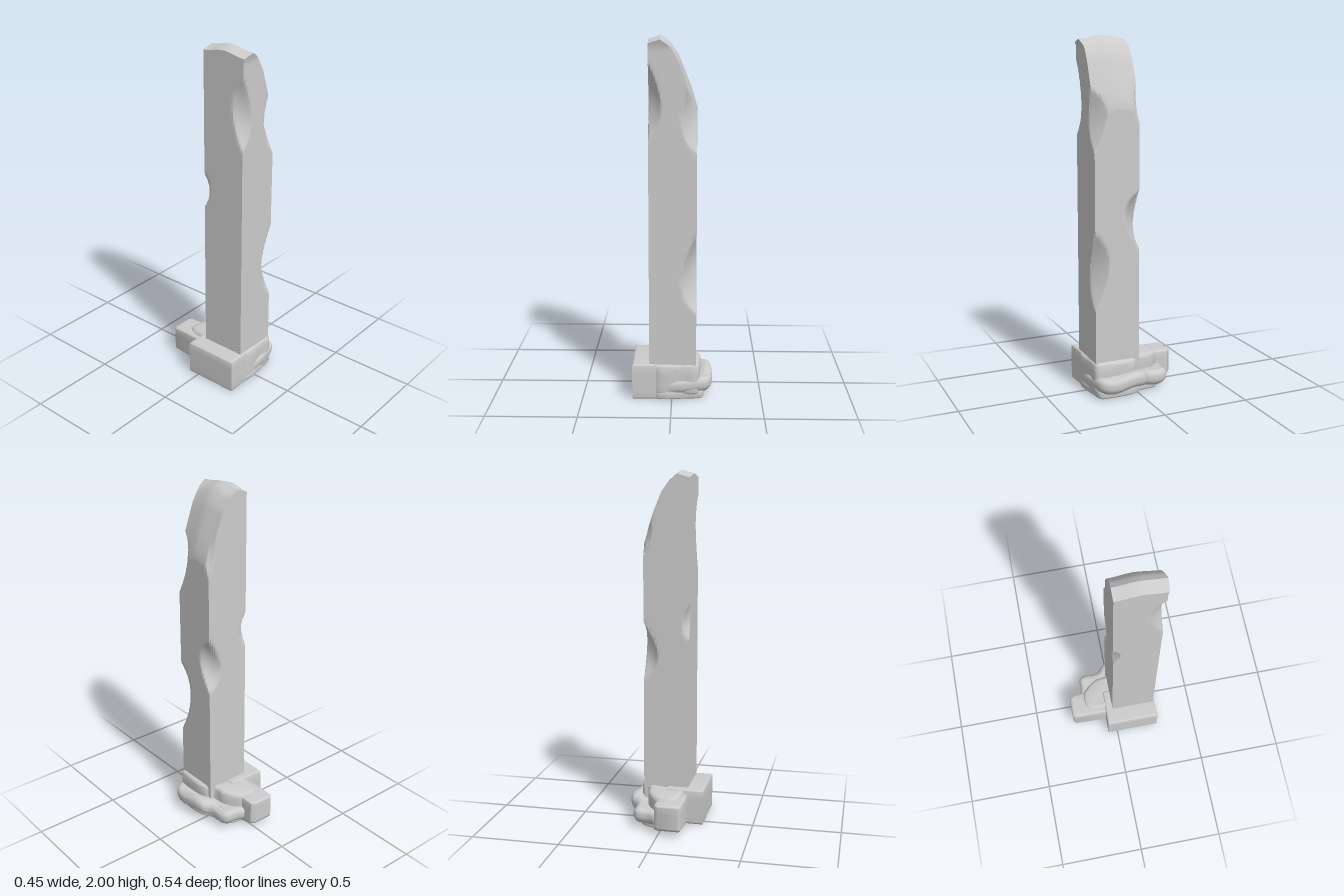
import * as THREE from 'three';
import { toCreasedNormals } from 'three/addons/utils/BufferGeometryUtils.js';

const material = new THREE.MeshStandardMaterial({ color: 0xcccccc });

// Piecewise linear lookup through [input, output] pairs.
function lookup(pairs, t) {
  if (t <= pairs[0][0]) return pairs[0][1];
  for (let i = 1; i < pairs.length; i++) {
    const [a, va] = pairs[i - 1], [b, vb] = pairs[i];
    if (t <= b) return THREE.MathUtils.lerp(va, vb, (t - a) / (b - a));
  }
  return pairs[pairs.length - 1][1];
}

function moveVertices(geometry, rule) {
  const p = geometry.attributes.position, v = new THREE.Vector3();
  for (let i = 0; i < p.count; i++) {
    rule(v.fromBufferAttribute(p, i));
    p.setXYZ(i, v.x, v.y, v.z);
  }
  return geometry;
}

// Height of the worn top across x.
const topLine = [[-0.125, 1.97], [-0.06, 1.99], [-0.015, 1.96], [0.035, 1.89],
  [0.075, 1.79], [0.11, 1.7], [0.135, 1.61]];

// Corner chips: side in x, side in z, height, half height, depth.
const chips = [
  [1, 1, 0.72, 0.22, 0.06],
  [1, 1, 1.6, 0.22, 0.06],
  [1, -1, 1.0, 0.16, 0.06],
  [1, -1, 1.7, 0.16, 0.035],
  [-1, -1, 1.17, 0.1, 0.03],
  [-1, 1, 1.66, 0.2, 0.05],
];

function columnGeometry() {
  const halfX = 0.13, halfZ = 0.131, midX = 0.005, midZ = 0.117, bottom = 0.08;
  const geometry = new THREE.BoxGeometry(2 * halfX, 1, 2 * halfZ, 20, 110, 20);
  moveVertices(geometry, (v) => {
    // sloping broken top
    const u = v.x / halfX, w = v.z / halfZ;
    const top = lookup(topLine, v.x + midX) + 0.01 * Math.cos(w * 3)
      - 0.05 * Math.max(0, u) * Math.max(0, w);
    v.y = THREE.MathUtils.lerp(bottom, top, v.y + 0.5);
    // skewed cuts at the corners
    for (const [sx, sz, height, reach, depth] of chips) {
      const skew = 0.5 * (sx * v.x - sz * v.z);
      const t = Math.abs(v.y - height - skew) / reach;
      if (t >= 1) continue;
      const limit = halfX + halfZ - 1.4 * depth * (1 - t * t);
      const over = sx * v.x + sz * v.z - limit;
      if (over > 0) {
        v.x -= sx * over / 2;
        v.z -= sz * over / 2;
      }
    }
    // small lip at the front of the top
    if (v.z > 0.1 && v.y > 1.94 && v.x < 0) v.z += 0.3 * (v.y - 1.94);
    v.x += midX;
    v.z += midZ;
  });
  return toCreasedNormals(geometry, 0.6);
}

// Rounded slab from a plan outline of [x, z] points.
function slab(name, points, bottom, top, round, smooth, rule) {
  const outline = points.map(([x, z]) => new THREE.Vector2(x, -z));
  const shape = new THREE.Shape(smooth
    ? new THREE.CatmullRomCurve3(outline.map((p) => new THREE.Vector3(p.x, p.y, 0)), true, 'centripetal')
      .getPoints(70).slice(0, -1).map((p) => new THREE.Vector2(p.x, p.y))
    : outline);
  const geometry = new THREE.ExtrudeGeometry(shape, {
    depth: top - bottom - 2 * round, bevelEnabled: true, bevelSize: round,
    bevelThickness: round, bevelOffset: -round, bevelSegments: 5, steps: 4,
  });
  geometry.rotateX(-Math.PI / 2).translate(0, bottom + round, 0);
  if (rule) moveVertices(geometry, rule);
  const mesh = new THREE.Mesh(toCreasedNormals(geometry, 0.75), material);
  mesh.name = name;
  return mesh;
}

export function createModel() {
  const model = new THREE.Group();
  model.name = 'brokenColumn';

  const column = new THREE.Mesh(columnGeometry(), material);
  column.name = 'column';
  model.add(column);

  const base = new THREE.Group();
  base.name = 'base';
  model.add(base);

  // square arm on one side
  base.add(slab('sideBlock', [[-0.22, 0.26], [0, 0.255], [0, -0.055], [-0.22, -0.06]],
    0, 0.205, 0.012, false));

  // block standing out at the back
  base.add(slab('backBlock', [[-0.128, 0.02], [0.0, 0.02], [0.025, -0.17], [0.022, -0.25],
    [0, -0.27], [-0.115, -0.27], [-0.128, -0.255]], 0, 0.178, 0.014, false, (v) => {
    // underside rises towards the back
    if (v.y < 0.05 && v.z < -0.15) v.y += 0.25 * (-0.15 - v.z);
  }));

  // worn upper course under the column
  base.add(slab('upperCourse', [[-0.1, 0.25], [0.05, 0.258], [0.145, 0.25], [0.155, 0.2],
    [0.15, 0.02], [0.105, -0.02], [0.095, -0.08], [0.06, -0.14], [0.01, -0.18], [-0.08, -0.17],
    [-0.11, 0]], 0.02, 0.205, 0.025, true, (v) => {
    if (v.z < -0.02 && v.y > 0.1) v.y -= 0.1 * (-0.02 - v.z);
  }));

  // bulging middle ledge, rising and falling as it goes round
  base.add(slab('middleLedge', [[-0.07, 0.245], [0.02, 0.268], [0.11, 0.262], [0.19, 0.24],
    [0.22, 0.19], [0.22, 0.02], [0.205, -0.025], [0.17, -0.06], [0.165, -0.15], [0.145, -0.182],
    [0.08, -0.187], [0.03, -0.2], [0, -0.18], [-0.05, 0]], 0.035, 0.125, 0.038, true, (v) => {
    v.y += 0.1 * (v.x - 0.13) + 0.012 * Math.sin(v.z * 22 + 1);
  }));

  // thin foot
  base.add(slab('foot', [[-0.1, 0.25], [0.08, 0.255], [0.17, 0.235], [0.18, 0.18],
    [0.175, 0.04], [0.14, -0.03], [0.12, -0.13], [0.02, -0.17], [-0.09, -0.15], [-0.11, 0]],
  0, 0.05, 0.015, true));

  return model;
}
